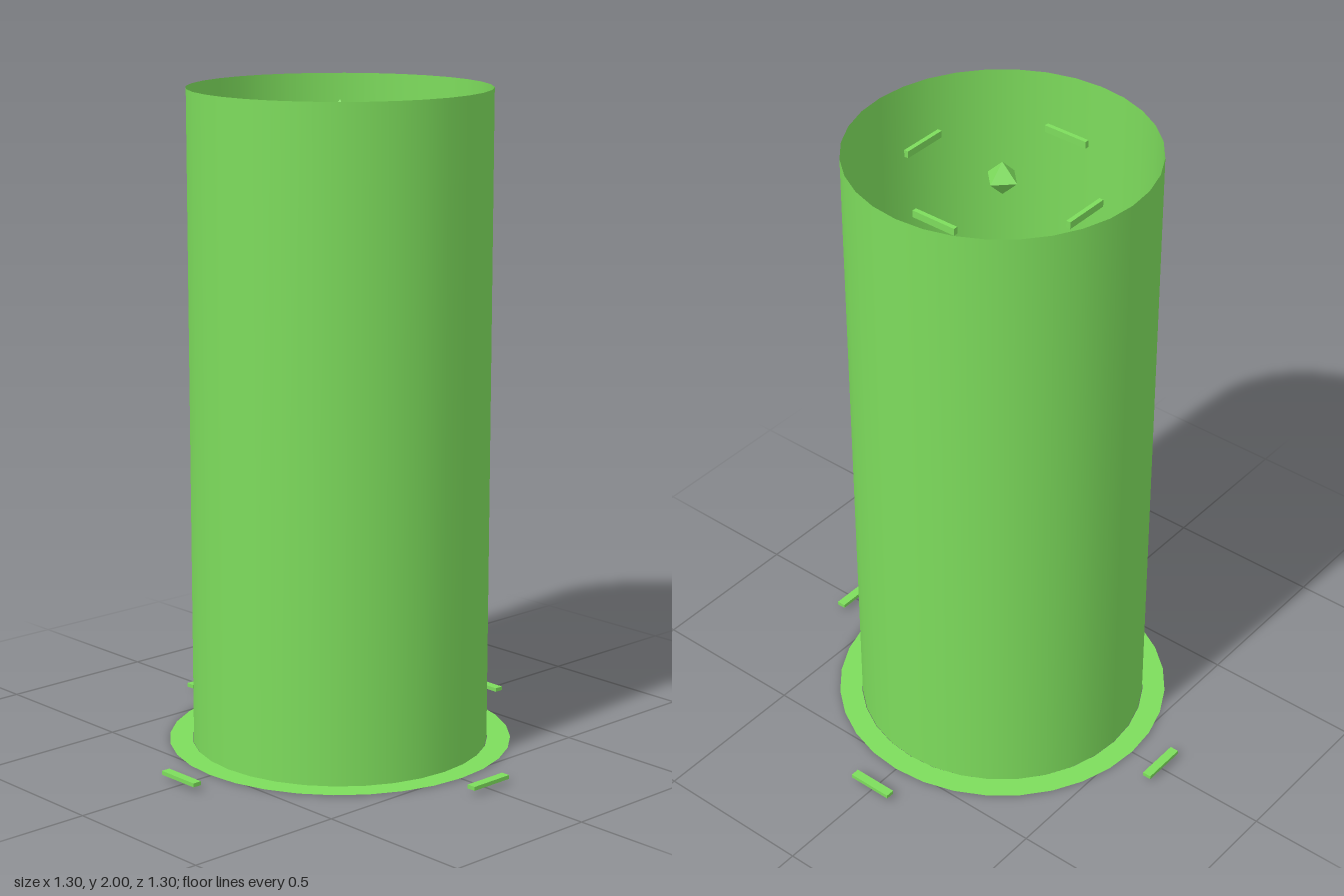
import * as THREE from 'three';

const green = 0x7ddc5c;

export function createModel() {
  const model = new THREE.Group();
  const solid = new THREE.MeshStandardMaterial({ color: green });
  const faceted = new THREE.MeshStandardMaterial({ color: green, flatShading: true });
  const thin = new THREE.MeshStandardMaterial({ color: green, side: THREE.DoubleSide });

  const add = (name, geometry, material, y, parent = model) => {
    const mesh = new THREE.Mesh(geometry, material);
    mesh.name = name;
    mesh.position.y = y;
    parent.add(mesh);
    return mesh;
  };

  // Open tall column wall
  add('columnWall', new THREE.CylinderGeometry(0.453, 0.453, 2, 32, 1, true), thin, 1);

  // Flat ring on the ground
  const ground = new THREE.RingGeometry(0.455, 0.526, 32).rotateX(-Math.PI / 2);
  add('groundRing', ground, thin, 0.002);

  // Slim hoops inside the column
  const hoop = new THREE.TorusGeometry(0.437, 0.0075, 8, 48).rotateX(Math.PI / 2);
  for (let i = 0; i < 3; i++) add('innerHoop' + (i + 1), hoop, solid, 0.165 + i * 0.265);

  // Four bars round the foot and four floating near the top
  const footBar = new THREE.BoxGeometry(0.145, 0.012, 0.028);
  const topBar = new THREE.BoxGeometry(0.148, 0.022, 0.014);
  for (let i = 0; i < 4; i++) {
    const side = new THREE.Group();
    side.name = 'barPair' + (i + 1);
    side.rotation.y = i * Math.PI / 2;
    add('footBar', footBar, solid, 0.021, side).position.z = 0.636;
    add('topBar', topBar, solid, 1.91, side).position.z = 0.292;
    model.add(side);
  }

  // Floating crystal on the axis
  add('crystal', new THREE.OctahedronGeometry(0.053), faceted, 1.91);

  return model;
}
